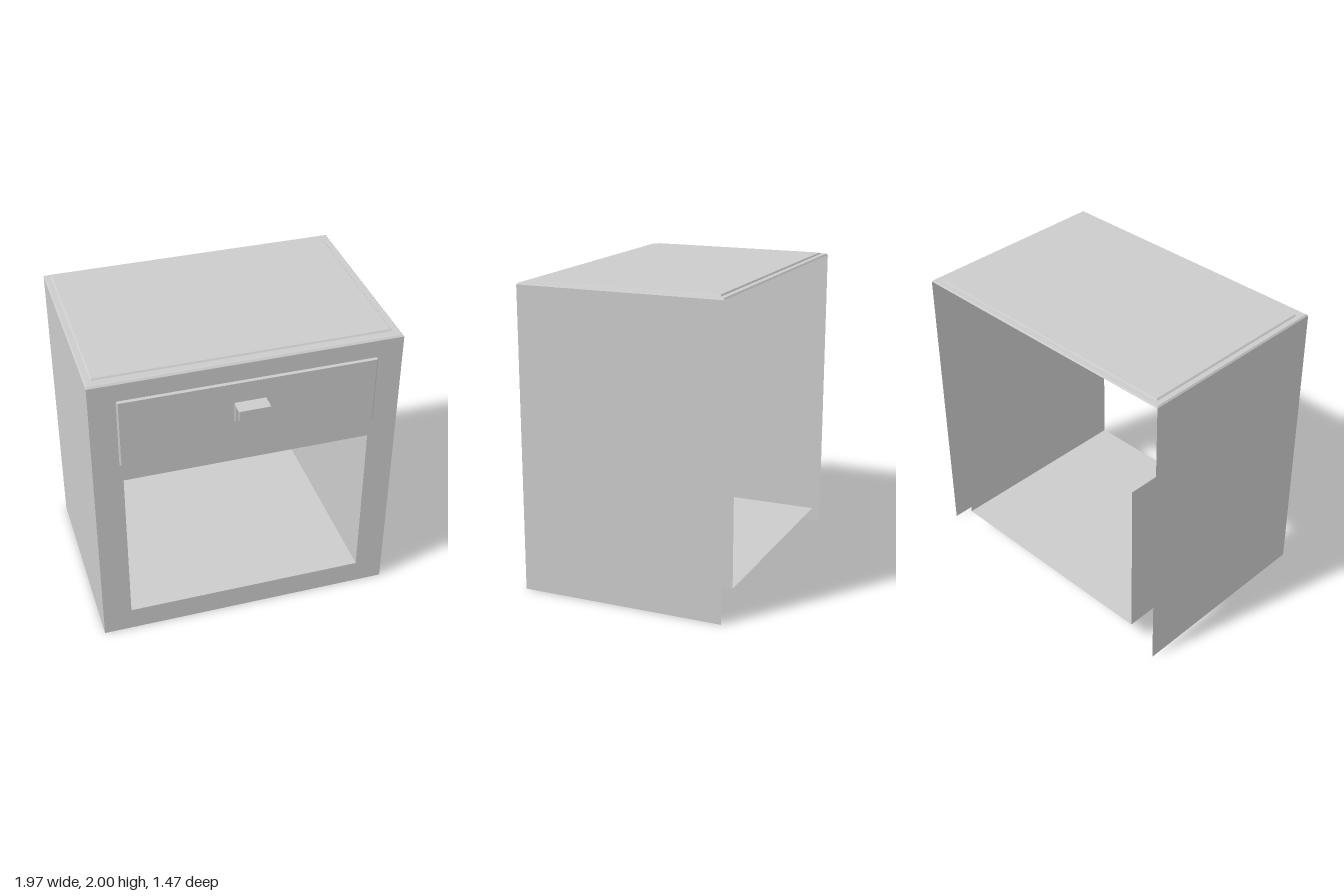
import * as THREE from 'three';

const W = 0.985, FRONT = 0.615, BACK = -0.735, DEPTH = FRONT - BACK, MID = (FRONT + BACK) / 2;
const WALL_TOP = 1.98, FLOOR = 0.16, SHELF_TOP = 1.27, INNER = 0.797;

const material = new THREE.MeshStandardMaterial({ color: 0xcccccc, side: THREE.DoubleSide });

// Stacks rectangles [x0, x1, z0, z1, y] into a stepped, bevelled skin closed at the last one
function rectLoft(rects) {
  const pos = [];
  const loops = rects.map(([x0, x1, z0, z1, y]) => [[x0, y, z0], [x0, y, z1], [x1, y, z1], [x1, y, z0]]);
  const quad = (a, b, c, d) => pos.push(...a, ...b, ...c, ...a, ...c, ...d);
  for (let k = 0; k + 1 < loops.length; k++) {
    for (let i = 0; i < 4; i++) {
      const j = (i + 1) % 4;
      quad(loops[k][i], loops[k][j], loops[k + 1][j], loops[k + 1][i]);
    }
  }
  quad(...loops[loops.length - 1]);
  const geo = new THREE.BufferGeometry();
  geo.setAttribute('position', new THREE.Float32BufferAttribute(pos, 3));
  geo.computeVertexNormals();
  return geo;
}

function rectPath(path, x0, x1, y0, y1) {
  path.moveTo(x0, y0);
  path.lineTo(x1, y0);
  path.lineTo(x1, y1);
  path.lineTo(x0, y1);
  path.closePath();
  return path;
}

export function createModel() {
  const group = new THREE.Group();
  const add = (name, geo) => {
    const mesh = new THREE.Mesh(geo, material);
    mesh.name = name;
    group.add(mesh);
  };

  // Front frame with the shelf opening and the drawer opening
  const frame = rectPath(new THREE.Shape(), -W, W, 0, WALL_TOP);
  frame.holes.push(
    rectPath(new THREE.Path(), -INNER, INNER, FLOOR, SHELF_TOP),
    rectPath(new THREE.Path(), -0.81, 0.81, 1.4, 1.863)
  );
  add('frontFrame', new THREE.ShapeGeometry(frame).translate(0, 0, FRONT));

  // Thin outer sides, and the inner sides that line the shelf space
  for (const [side, s] of [['left', 1], ['right', -1]]) {
    add(side + 'Side', new THREE.PlaneGeometry(DEPTH, WALL_TOP)
      .rotateY(s * Math.PI / 2).translate(s * W, WALL_TOP / 2, MID));
    add(side + 'InnerSide', new THREE.PlaneGeometry(DEPTH, SHELF_TOP - FLOOR)
      .rotateY(-s * Math.PI / 2).translate(s * INNER, (SHELF_TOP + FLOOR) / 2, MID));
  }

  // Shelf floor
  add('shelfFloor', new THREE.PlaneGeometry(2 * INNER, DEPTH)
    .rotateX(-Math.PI / 2).translate(0, FLOOR, MID));

  // Top with bevelled rim and slightly raised panel
  add('top', rectLoft([
    [-W, W, BACK, FRONT, WALL_TOP],
    [-0.977, 0.977, -0.727, 0.605, 1.99],
    [-0.944, 0.934, -0.695, 0.548, 1.99],
    [-0.935, 0.926, -0.688, 0.54, 2]
  ]));

  // Drawer front, lofted upward and then turned to face forward
  add('drawerFront', rectLoft([
    [-0.81, 0.81, -1.863, -1.4, FRONT],
    [-0.819, 0.819, -1.863, -1.4, 0.627],
    [-0.809, 0.809, -1.86, -1.404, 0.637]
  ]).rotateX(Math.PI / 2));

  // Hooked pull: back plate, arm and drop in one profile (z, y)
  const profile = new THREE.Shape([
    [0.635, 1.595], [0.657, 1.595], [0.657, 1.71], [0.72, 1.71],
    [0.72, 1.655], [0.735, 1.655], [0.735, 1.723], [0.635, 1.723]
  ].map(p => new THREE.Vector2(...p)));
  add('drawerPull', new THREE.ExtrudeGeometry(profile, { depth: 0.2, bevelEnabled: false })
    .rotateY(-Math.PI / 2).translate(0.1, 0, 0));

  return group;
}
